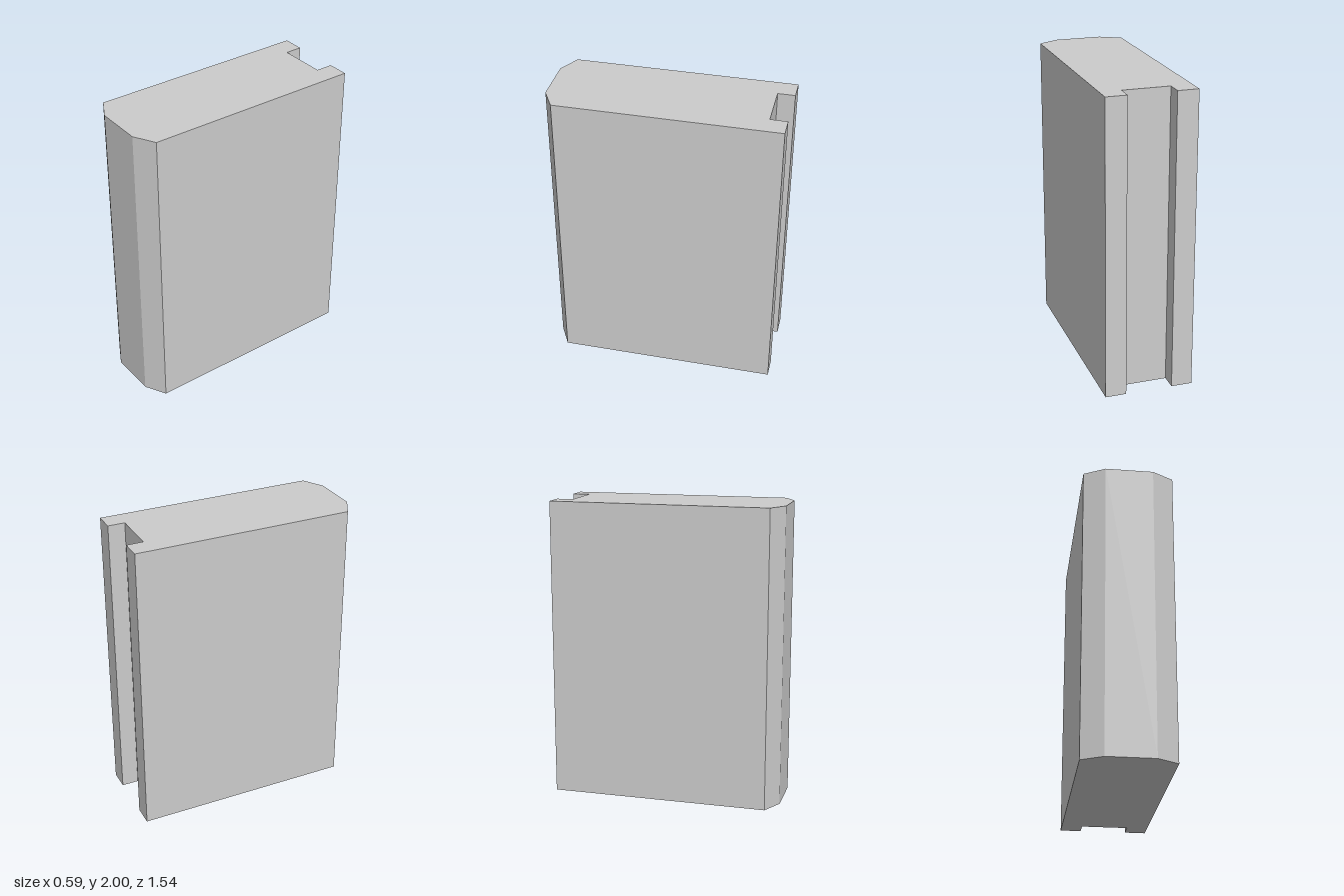
import * as THREE from 'three';

export function createModel() {
  const group = new THREE.Group();
  group.name = 'groovedBlock';

  const height = 2;
  const halfWidth = 0.297, halfDepth = 0.77;
  const inner = 0.157; // half width of both the front face and the back groove
  const chamferZ = 0.693, grooveZ = -0.657;

  // Right half of the plan outline as [x, z], from front to back
  const half = [
    [inner, halfDepth],
    [halfWidth, chamferZ],
    [halfWidth, -halfDepth],
    [inner, -halfDepth],
    [inner, grooveZ],
  ];
  const mirrored = half.map(([x, z]) => [-x, z]).reverse();
  const outline = [...half, ...mirrored].map(([x, z]) => new THREE.Vector2(x, -z));

  // Upright block: bevelled front corners, groove along the back
  const geometry = new THREE.ExtrudeGeometry(new THREE.Shape(outline), {
    depth: height,
    bevelEnabled: false,
  });
  geometry.rotateX(-Math.PI / 2);

  const material = new THREE.MeshStandardMaterial({ color: 0xcccccc, flatShading: true });
  const block = new THREE.Mesh(geometry, material);
  block.name = 'block';
  group.add(block);
  return group;
}
